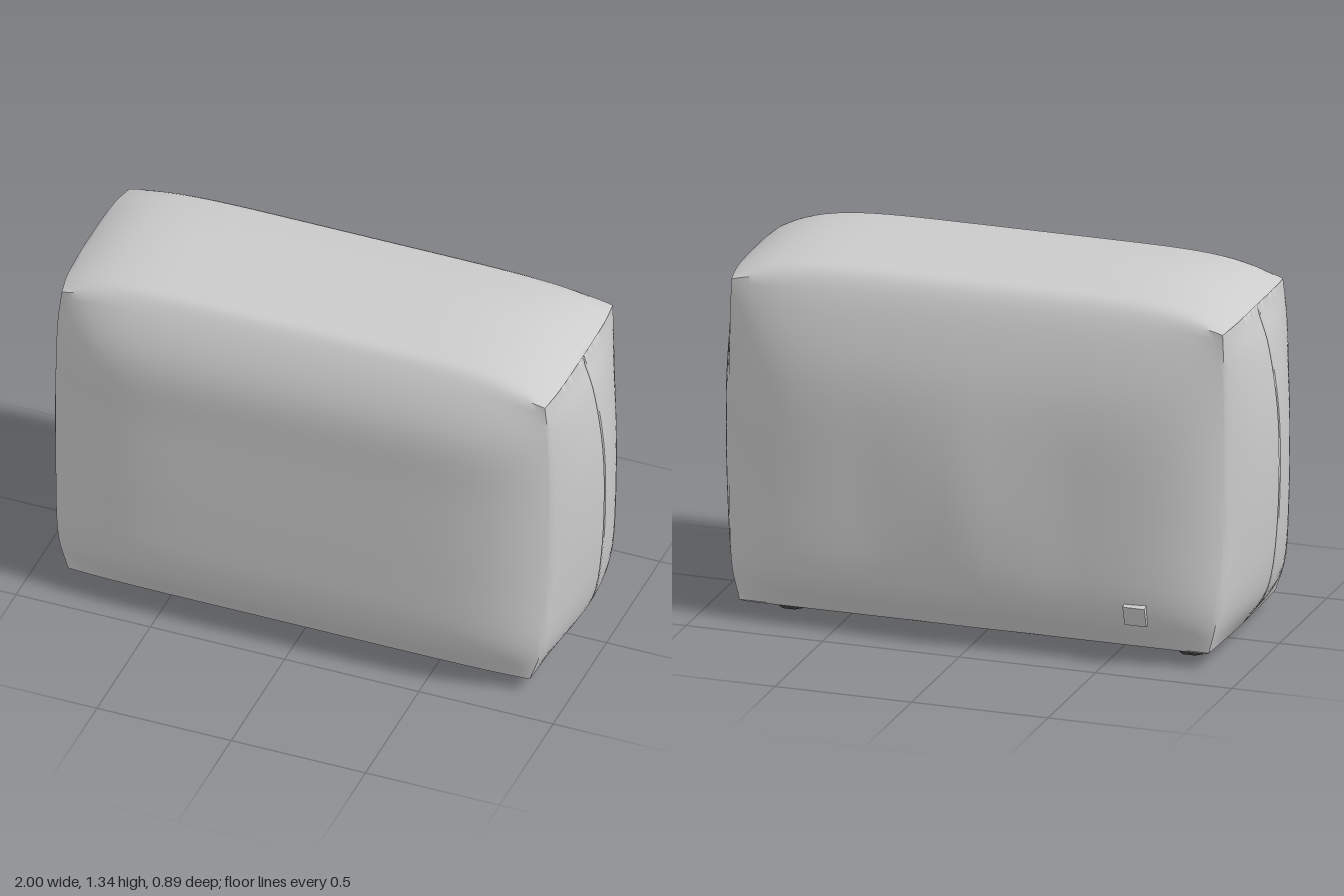
import * as THREE from 'three';
import { mergeGeometries, toCreasedNormals } from 'three/addons/utils/BufferGeometryUtils.js';

const lerp = THREE.MathUtils.lerp;

// Indexed patch from a rule point(u, v), both 0..1; it faces du x dv
function patch(nu, nv, point) {
  const pos = [], index = [];
  for (let i = 0; i <= nu; i++)
    for (let j = 0; j <= nv; j++) pos.push(...point(i / nu, j / nv));
  for (let i = 0; i < nu; i++)
    for (let j = 0; j < nv; j++) {
      const a = i * (nv + 1) + j, b = a + nv + 1;
      index.push(a, b, b + 1, a, b + 1, a + 1);
    }
  const g = new THREE.BufferGeometry();
  g.setAttribute('position', new THREE.Float32BufferAttribute(pos, 3));
  g.setIndex(index);
  return g;
}

// Smooth curve through [z, y, x] points
const curveOf = (rows) => new THREE.CatmullRomCurve3(
  rows.map(([z, y, x = 0]) => new THREE.Vector3(x, y, z)), false, 'catmullrom', 0.5);

// Padded arch at mid length: from front hem over the top to back hem
const middle = curveOf([
  [0.37, 0.055], [0.437, 0.2], [0.446, 0.45], [0.44, 0.8], [0.43, 1.07], [0.34, 1.265], [0.25, 1.31],
  [0, 1.335],
  [-0.2, 1.31], [-0.305, 1.26], [-0.385, 1.04], [-0.425, 0.8], [-0.441, 0.48], [-0.415, 0.2], [-0.34, 0.055],
]);
// Arch seam at each end: front side, back side and across the top
const frontSeam = curveOf([
  [0.365, 0.06, 0.86], [0.36, 0.2, 0.9], [0.335, 0.45, 0.918],
  [0.327, 0.8, 0.922], [0.328, 1.07, 0.915], [0.325, 1.22, 0.9],
]);
const backSeam = curveOf([
  [-0.34, 0.06, 0.86], [-0.34, 0.2, 0.89], [-0.315, 0.45, 0.905],
  [-0.308, 0.8, 0.908], [-0.31, 1.07, 0.905], [-0.31, 1.22, 0.9],
]);
const topSeam = curveOf([
  [0.325, 1.22, 0.9], [0.22, 1.23, 0.915], [0, 1.235, 0.92], [-0.2, 1.23, 0.915], [-0.31, 1.22, 0.9],
]);
// Centre line of each end panel
const endRidge = curveOf([
  [0, 0.06, 0.868], [0, 0.2, 0.957], [0, 0.45, 0.992], [0, 0.8, 0.996], [0, 1.07, 0.963], [0, 1.22, 0.918],
]);

// The whole seam, with u matched to the control points of the arch
function seamPoint(u) {
  const f = u * 14;
  if (f <= 5) return frontSeam.getPoint(f / 5);
  if (f < 9) return topSeam.getPoint((f - 5) / 4);
  return backSeam.getPoint((14 - f) / 5);
}

function coverGeometry() {
  // Front, top and back in one sheet, tightening toward the end seams
  const arch = patch(70, 40, (u, v) => {
    const k = 1 - 2 * v;
    const s = Math.sign(k) * (1 - Math.pow(1 - Math.abs(k), 1.8));
    const m = middle.getPoint(u), e = seamPoint(u);
    // The back swells a little at its centre
    const swell = m.z < -0.3 ? Math.exp(-(((m.y - 0.5) / 0.35) ** 2)) : 0;
    const z = m.z + 0.03 * swell * Math.min(1, 2.5 * Math.abs(s));
    const full = 1 - Math.pow(Math.abs(s), 6.5);
    return [s * e.x, lerp(e.y, m.y, full), lerp(e.z, z, full)];
  });
  // Bulging end panels with a fine seam down the middle
  const end = (side) => patch(25, 40, (u, v) => {
    const k = side * (2 * v - 1);
    const t = Math.sign(k) * Math.pow(Math.abs(k), 1.3);
    const f = frontSeam.getPoint(u), b = backSeam.getPoint(u), w = (t + 1) / 2;
    const bulge = 1 - Math.pow(Math.abs(t), 1.9);
    const groove = Math.abs(t) < 0.01 && u < 0.99 ? 0.008 : 0;
    const lift = u > 0.99 ? 0.015 * (1 - t * t) : 0;
    return [
      side * (lerp(lerp(b.x, f.x, w), endRidge.getPoint(u).x, bulge) - groove),
      f.y + lift,
      lerp(b.z, f.z, w),
    ];
  });
  return toCreasedNormals(mergeGeometries([arch, end(1), end(-1)]), 0.9);
}

// Lining that runs from the hem up to the recessed base
function liningGeometry() {
  const loops = [[0.86, 0.352, 0.06], [0.85, 0.342, 0.052], [0.835, 0.325, 0.165]];
  const corners = [[1, 1], [1, -1], [-1, -1], [-1, 1], [1, 1]];
  return toCreasedNormals(patch(2, 4, (u, v) => {
    const [x, z, y] = loops[Math.round(u * 2)], [cx, cz] = corners[Math.round(v * 4)];
    return [cx * x, y, cz * z + 0.012];
  }), 0.6);
}

export function createModel() {
  const group = new THREE.Group();
  const fabric = new THREE.MeshStandardMaterial({ color: 0xcccccc, side: THREE.DoubleSide });
  const grey = new THREE.MeshStandardMaterial({ color: 0xcccccc });
  const rubber = new THREE.MeshStandardMaterial({ color: 0x444444, flatShading: true });
  const add = (name, geometry, material, x = 0, y = 0, z = 0) => {
    const mesh = new THREE.Mesh(geometry, material);
    mesh.name = name;
    mesh.position.set(x, y, z);
    group.add(mesh);
    return mesh;
  };

  add('cover', coverGeometry(), fabric);
  add('lining', liningGeometry(), fabric);
  add('basePanel', new THREE.BoxGeometry(1.67, 0.02, 0.65), grey, 0, 0.17, 0.012);

  // Small square tab low on the back
  const tab = add('backTab', new THREE.BoxGeometry(0.08, 0.075, 0.03), grey, -0.61, 0.19, -0.392);
  tab.rotation.x = -0.3;

  // Four stubby feet with a narrow neck
  const profile = [[0, 0], [0.056, 0], [0.075, 0.02], [0.075, 0.055], [0.05, 0.095], [0.054, 0.165]];
  const footGeometry = new THREE.LatheGeometry(profile.map(([r, y]) => new THREE.Vector2(r, y)), 8, Math.PI / 8);
  for (const x of [-0.745, 0.722])
    for (const z of [0.18, -0.165]) add('foot', footGeometry, rubber, x, 0, z);

  return group;
}
